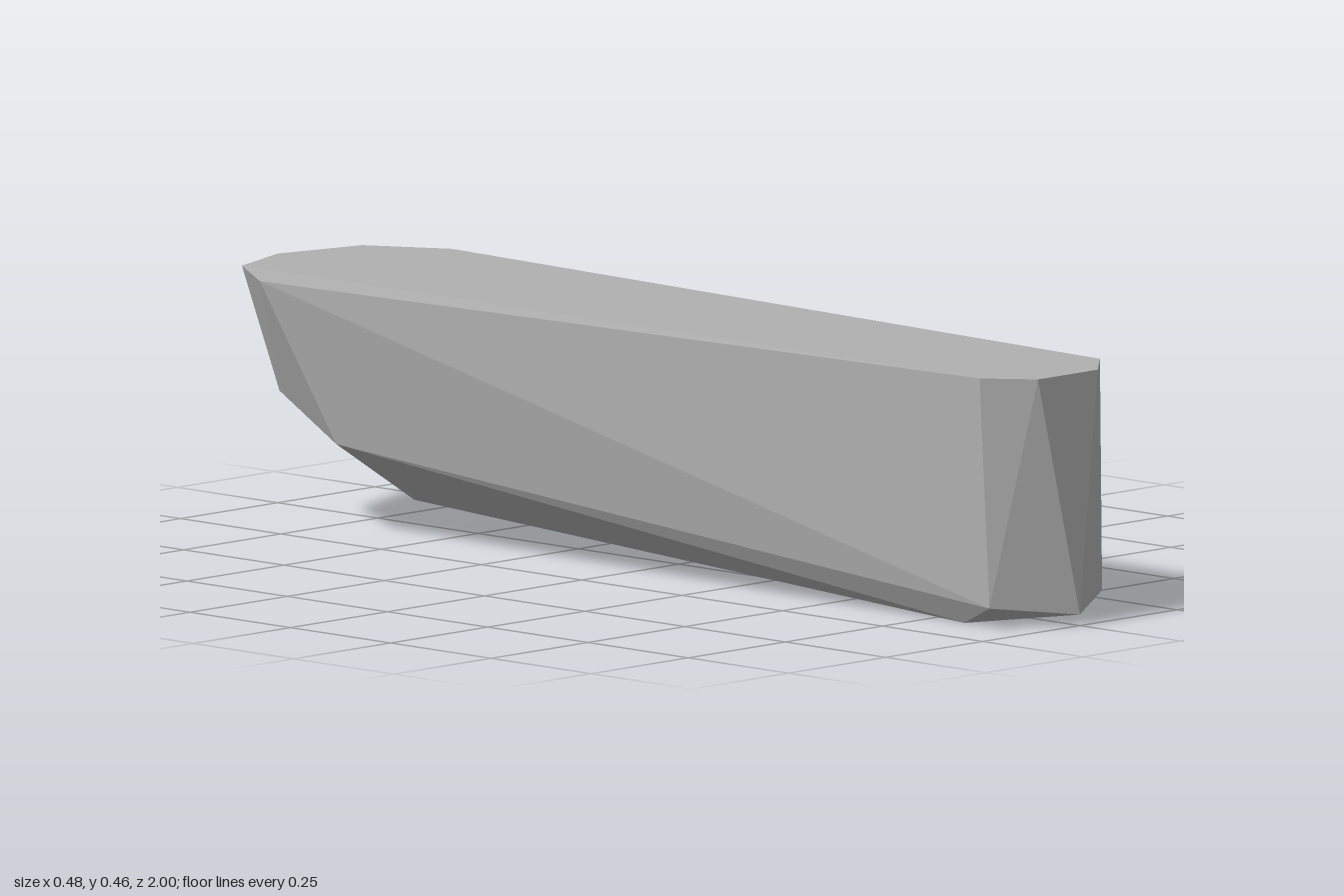
import * as THREE from 'three';
import { ConvexGeometry } from 'three/addons/geometries/ConvexGeometry.js';

const grey = new THREE.MeshStandardMaterial({ color: 0xb0b0b0 });
grey.name = 'plainGrey';

// Both sides of a mirrored corner
const pair = (x, y, z) => [[x, y, z], [-x, y, z]];

export function createModel() {
  const corners = [
    // flat top rim, narrow front to wide pointed back
    ...pair(0.155, 0.455, 0.9),
    ...pair(0.077, 0.452, 0.97),
    [0.242, 0.455, -0.8],
    [-0.242, 0.451, -0.81],
    [0.16, 0.455, -0.945],
    [-0.157, 0.455, -0.937],
    [0, 0.452, -1],
    // front foot
    [0, 0.02, 1],
    ...pair(0.145, 0.038, 0.915),
    ...pair(0.122, 0, 0.83),
    // faceted, slightly uneven back underside
    [0.205, 0.24, -0.78],
    [0.06, 0.203, -0.905],
    [-0.139, 0.235, -0.861],
    [-0.19, 0.165, -0.67],
    [0.108, 0.07, -0.62],
    [-0.03, 0.05, -0.63],
  ].map((p) => new THREE.Vector3(...p));

  const body = new THREE.Mesh(new ConvexGeometry(corners), grey);
  body.name = 'facetedBody';

  const model = new THREE.Group();
  model.name = 'taperedBlock';
  model.add(body);
  return model;
}
